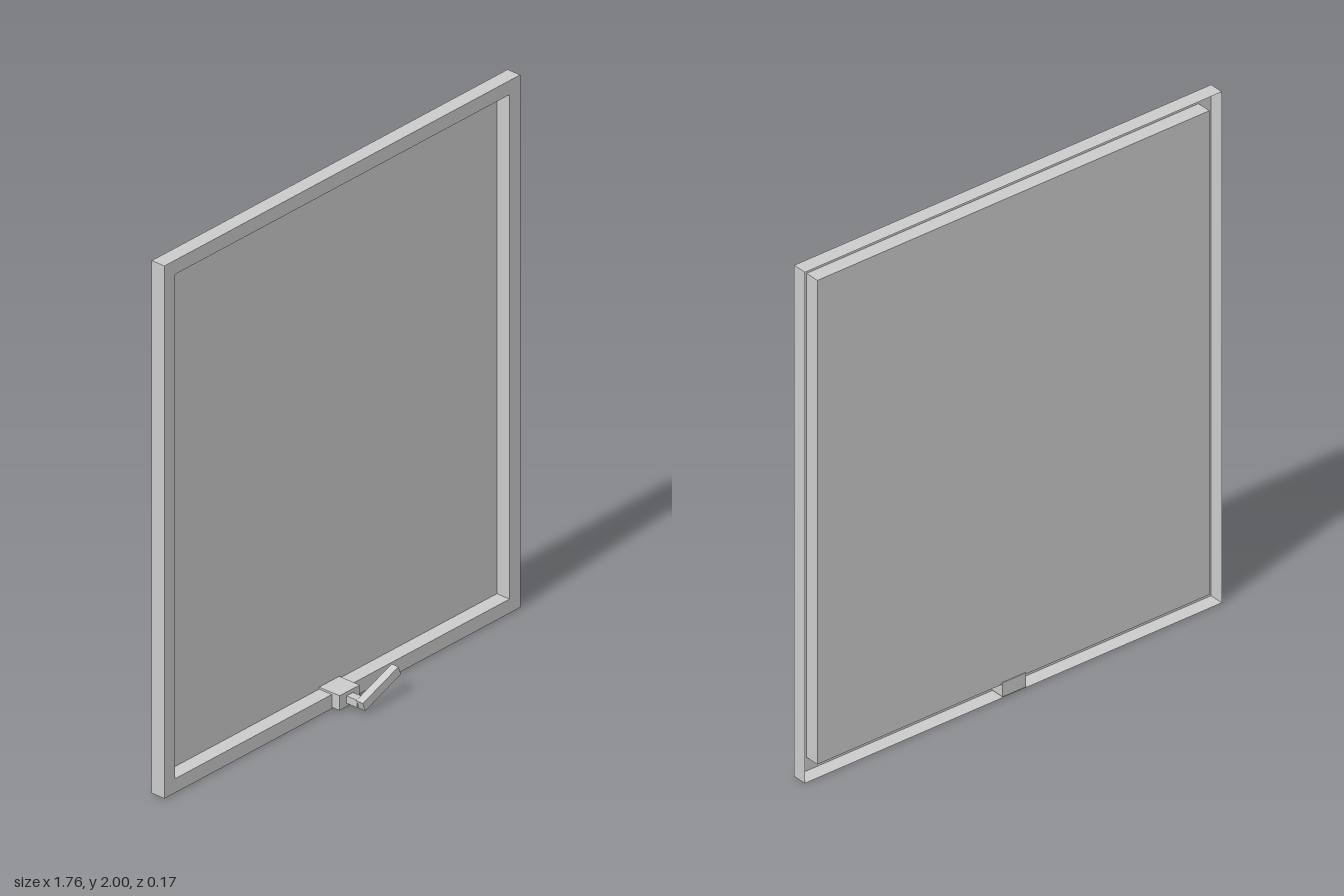
import * as THREE from 'three';

const W = 1.764, H = 2, RIM = 0.053;   // overall size and flange width
const FRONT = -0.025, BACK = -0.081;   // depth of the folded frame

const grey = () => new THREE.MeshStandardMaterial({ color: 0xcccccc, side: THREE.DoubleSide });

// Rectangular ring of corners, inset from the outline, at depth z
function ring(inset, z) {
  const x = W / 2 - inset, y0 = inset, y1 = H - inset;
  return [[-x, y0, z], [x, y0, z], [x, y1, z], [-x, y1, z]];
}

// Flat-sided band joining two rings
function band(name, a, b) {
  const pos = [];
  for (let i = 0; i < 4; i++) {
    const j = (i + 1) % 4;
    pos.push(...a[i], ...a[j], ...b[j], ...a[i], ...b[j], ...b[i]);
  }
  const geo = new THREE.BufferGeometry();
  geo.setAttribute('position', new THREE.Float32BufferAttribute(pos, 3));
  geo.computeVertexNormals();
  const mesh = new THREE.Mesh(geo, grey());
  mesh.name = name;
  return mesh;
}

function box(name, w, h, d, x, y, z) {
  const mesh = new THREE.Mesh(new THREE.BoxGeometry(w, h, d), grey());
  mesh.name = name;
  mesh.position.set(x, y, z);
  return mesh;
}

export function createModel() {
  const model = new THREE.Group();
  model.name = 'windowSash';

  // Folded frame: outer wall, front flange and recess wall, open at the back
  const frame = new THREE.Group();
  frame.name = 'frame';
  frame.add(
    band('outerWall', ring(0, BACK), ring(0, FRONT)),
    band('frontFlange', ring(0, FRONT), ring(RIM, FRONT)),
    band('recessWall', ring(RIM, FRONT), ring(RIM, BACK))
  );
  model.add(frame);

  // Pane closing the recess at the back
  const pane = new THREE.Mesh(new THREE.PlaneGeometry(W - 2 * RIM, H - 2 * RIM), grey());
  pane.name = 'pane';
  pane.position.set(0, H / 2, BACK);
  model.add(pane);

  // Latch: block through the bottom rail, spindle and tilted lever
  const latch = new THREE.Group();
  latch.name = 'latch';
  latch.add(box('latchBlock', 0.1, 0.055, 0.093, -0.002, 0.033, -0.0375));
  latch.add(box('spindle', 0.032, 0.028, 0.046, -0.001, 0.032, 0.031));
  const lever = box('lever', 0.189, 0.035, 0.03, 0.076, 0.061, 0.067);
  lever.rotation.z = THREE.MathUtils.degToRad(20.5);
  latch.add(lever);
  model.add(latch);

  return model;
}
